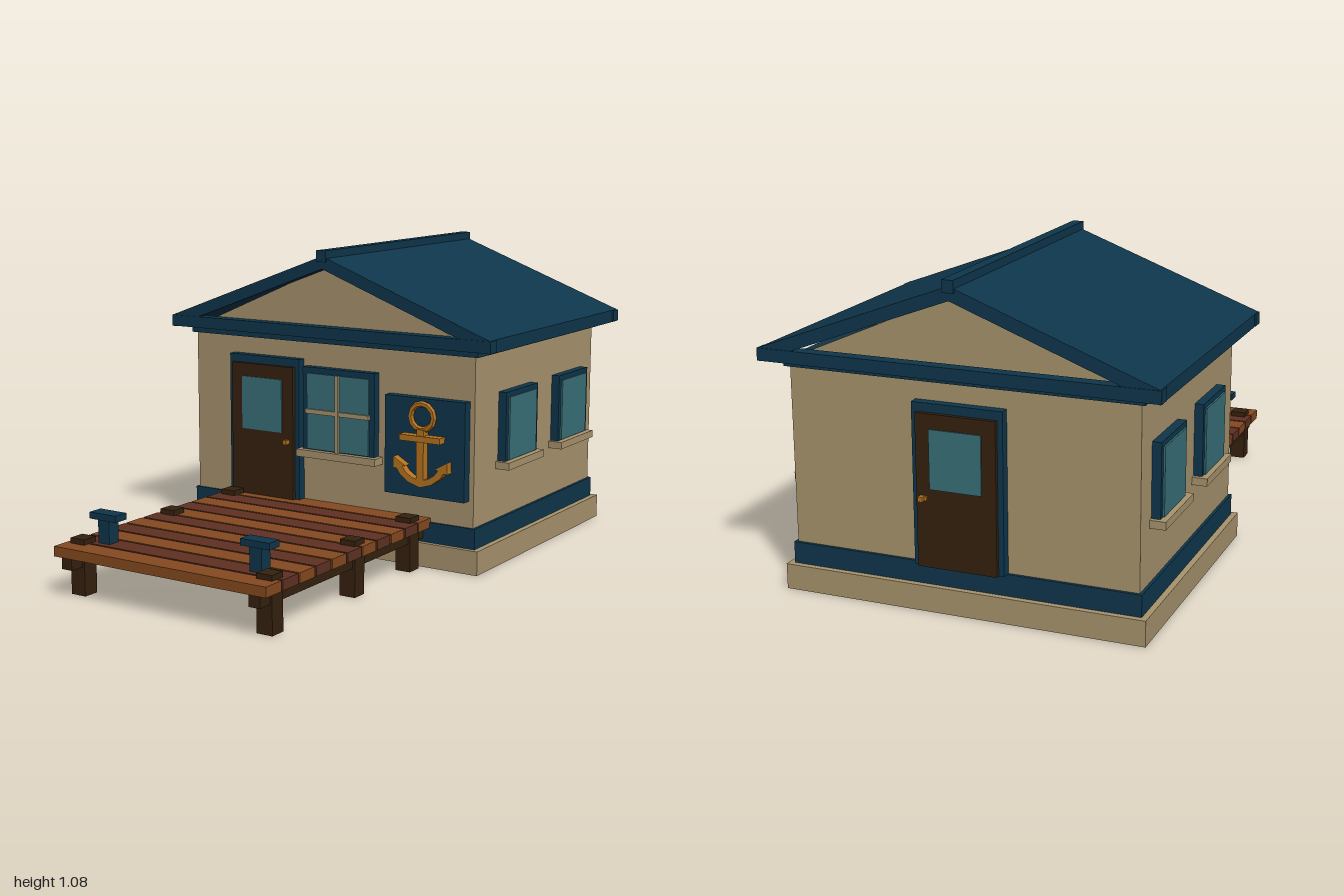
import * as THREE from 'three';

const mat = (name, color) => {
  const m = new THREE.MeshStandardMaterial({ color });
  m.name = name;
  return m;
};

export function createModel() {
  const root = new THREE.Group();
  root.name = 'boathouse';
  const sand = mat('sand', 0xa8946e);
  const navy = mat('navy', 0x0e364c);
  const glass = mat('glass', 0x387078);
  const darkWood = mat('darkWood', 0x35210f);
  const lightPlank = mat('lightPlank', 0x854a20);
  const redPlank = mat('redPlank', 0x5f3122);
  const brass = mat('brass', 0xb5731f);

  const add = (parent, name, geo, m) => {
    const mesh = new THREE.Mesh(geo, m);
    mesh.name = name;
    parent.add(mesh);
    return mesh;
  };
  // Box given by its extents on each axis
  const box = (parent, name, m, x0, x1, y0, y1, z0, z1) => {
    const mesh = add(parent, name, new THREE.BoxGeometry(x1 - x0, y1 - y0, z1 - z0), m);
    mesh.position.set((x0 + x1) / 2, (y0 + y1) / 2, (z0 + z1) / 2);
    return mesh;
  };
  // Outline in x, y extruded from z0 to z1
  const slab = (parent, name, m, pts, z0, z1) => {
    const shape = new THREE.Shape(pts.map(([x, y]) => new THREE.Vector2(x, y)));
    const geo = new THREE.ExtrudeGeometry(shape, { depth: z1 - z0, bevelEnabled: false });
    geo.translate(0, 0, z0);
    return add(parent, name, geo, m);
  };
  const group = (name, x = 0, y = 0, z = 0, turn = 0) => {
    const g = new THREE.Group();
    g.name = name;
    g.position.set(x, y, z);
    g.rotation.y = turn;
    root.add(g);
    return g;
  };

  // House body
  const front = 0.01, back = -0.927;
  const house = group('house');
  box(house, 'foundation', sand, -0.615, 0.615, 0, 0.085, -0.957, 0.035);
  box(house, 'baseBand', navy, -0.595, 0.595, 0.085, 0.157, -0.937, 0.018);
  box(house, 'walls', sand, -0.585, 0.585, 0.157, 0.75, back, front);
  box(house, 'frieze', navy, -0.6, 0.6, 0.747, 0.77, -0.942, 0.022);
  const gable = [[-0.585, 0.77], [0.585, 0.77], [0, 1.025]];
  slab(house, 'frontGable', sand, gable, front - 0.04, front);
  slab(house, 'backGable', sand, gable, back, back + 0.04);

  // Roof
  const roof = group('roof');
  const slope = [[0, 1.015], [0.66, 0.767], [0.66, 0.812], [0, 1.06]];
  slab(roof, 'leftRoofPanel', navy, slope, -0.987, 0.057);
  slab(roof, 'rightRoofPanel', navy, slope.map(([x, y]) => [-x, y]).reverse(), -0.987, 0.057);
  box(roof, 'ridgeCap', navy, -0.019, 0.019, 1.04, 1.08, -0.993, 0.064);
  box(roof, 'frontTieBeam', navy, -0.665, 0.665, 0.77, 0.811, 0.015, 0.06);
  box(roof, 'backTieBeam', navy, -0.665, 0.665, 0.77, 0.811, -0.99, -0.945);

  // Doors: built facing +z, handle on the chosen side
  const door = (name, x, z, turn, side) => {
    const g = group(name, x, 0, z, turn);
    box(g, 'doorFrame', navy, -0.152, 0.152, 0.157, 0.685, -0.005, 0.032);
    box(g, 'doorLeaf', darkWood, -0.134, 0.134, 0.157, 0.656, 0, 0.046);
    box(g, 'doorGlass', glass, -0.087, 0.087, 0.415, 0.608, 0.044, 0.05);
    box(g, 'handlePlate', brass, side * 0.108 - 0.012, side * 0.108 + 0.012, 0.378, 0.392, 0.045, 0.054);
    box(g, 'handle', brass, side * 0.112 - 0.008, side * 0.112 + 0.008, 0.377, 0.393, 0.054, 0.068);
  };
  door('frontDoor', -0.26, front, 0, 1);
  door('backDoor', -0.005, back, Math.PI, -1);

  // Windows: built facing +z, origin at the bottom centre of the frame
  const windowUnit = (name, x, y, z, turn, w, h, border, bars) => {
    const g = group(name, x, y, z, turn);
    const a = w / 2, b = w / 2 - border, top = h - border;
    box(g, 'windowFrame', navy, -a, a, 0, h, -0.005, 0.03);
    box(g, 'pane', glass, -b, b, 0.005, top, 0.02, 0.036);
    box(g, 'sill', sand, -a - 0.016, a + 0.016, -0.024, 0.002, -0.005, 0.052);
    if (bars) {
      box(g, 'uprightBar', sand, -0.007, 0.007, 0.002, top, 0.03, 0.044);
      box(g, 'crossBar', sand, -b - 0.004, b + 0.004, 0.135, 0.151, 0.03, 0.043);
    }
  };
  windowUnit('frontWindow', 0.057, 0.362, front, 0, 0.3, 0.3, 0.021, true);
  for (const s of [-1, 1])
    for (const z of [-0.286, -0.708])
      windowUnit('sideWindow', s * 0.585, 0.36, z, s * Math.PI / 2, 0.245, 0.245, 0.018, false);

  // Sign board with an anchor
  const sign = group('anchorSign', 0.41, 0, 0);
  box(sign, 'board', navy, -0.157, 0.157, 0.25, 0.595, 0.005, 0.045);
  const ring = new THREE.TorusGeometry(0.045, 0.011, 6, 12);
  ring.translate(0, 0.534, 0.06);
  const ringMesh = add(sign, 'anchorRing', ring.toNonIndexed(), brass);
  ringMesh.geometry.computeVertexNormals();
  box(sign, 'shank', brass, -0.014, 0.014, 0.3, 0.492, 0.04, 0.075);
  box(sign, 'stock', brass, -0.08, 0.08, 0.449, 0.47, 0.04, 0.08);
  const arm = [[0, 0.29], [0.045, 0.304], [0.08, 0.33], [0.092, 0.348], [0.107, 0.348],
    [0.105, 0.388], [0.057, 0.36], [0.07, 0.357], [0.055, 0.338], [0.03, 0.322], [0, 0.316]];
  slab(sign, 'leftArm', brass, arm, 0.042, 0.074);
  slab(sign, 'rightArm', brass, arm.map(([x, y]) => [-x, y]).reverse(), 0.042, 0.074);

  // Jetty: planks, stringers, posts and mooring bollards
  const jetty = group('jetty');
  for (let i = 0; i < 11; i++) {
    const z = 0.956 - i * 0.0903;
    box(jetty, 'plank', i % 2 ? redPlank : lightPlank, -0.42, 0.42, 0.138, 0.172, z - 0.041, z + 0.041);
  }
  for (const s of [-1, 1]) {
    const x = s * 0.372;
    box(jetty, 'stringer', darkWood, x - 0.021, x + 0.021, 0.098, 0.138, 0.015, 0.99);
    for (const z of [0.09, 0.444, 0.909])
      box(jetty, 'post', darkWood, x - 0.029, x + 0.029, 0, 0.19, z - 0.029, z + 0.029);
    const bx = s * 0.303;
    box(jetty, 'bollardPost', navy, bx - 0.023, bx + 0.023, 0.17, 0.252, 0.84, 0.886);
    box(jetty, 'bollardCap', navy, bx - 0.055, bx + 0.055, 0.25, 0.272, 0.836, 0.89);
  }
  return root;
}
